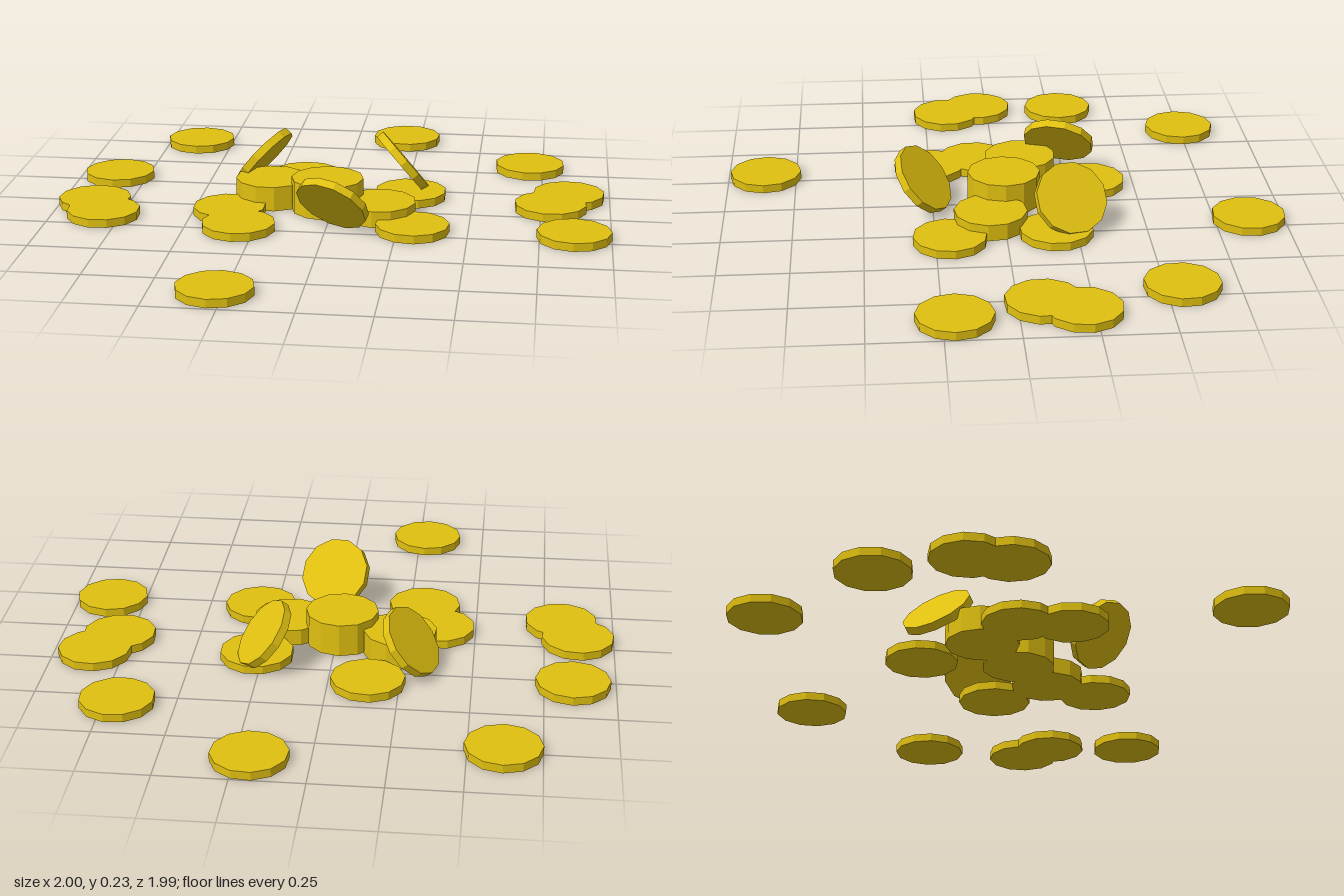
import * as THREE from 'three';

const R = 0.131, H = 0.03, SIDES = 12;

export function createModel() {
  const root = new THREE.Group();
  root.name = 'coinPile';
  const geo = new THREE.CylinderGeometry(R, R, H, SIDES);
  const gold = new THREE.MeshStandardMaterial({ color: 0xe0c010, flatShading: true });

  const addCoin = (name, x, y, z, yaw) => {
    const coin = new THREE.Mesh(geo, gold);
    coin.name = name;
    coin.position.set(x, y, z);
    coin.rotation.y = yaw;
    root.add(coin);
    return coin;
  };

  // Coins lying on the ground: [x, z]
  const flat = [
    [-0.62, -0.745], [0.20, -0.87], [0.70, -0.555], [-0.85, -0.285],
    [0.85, -0.21], [0.785, -0.085], [0.87, 0.21], [-0.87, 0.04],
    [-0.81, 0.165], [-0.28, 0.862], [-0.14, -0.335], [-0.365, 0.08],
    [-0.305, 0.25], [0.305, 0.20], [0.27, -0.175],
  ];
  flat.forEach(([x, z], i) => addCoin('looseCoin', x, H / 2, z, i * 0.17));

  // Stacks in the middle: [x, z, number of coins]
  const stacks = [[-0.02, -0.01, 4], [-0.235, -0.085, 3], [0.175, 0.05, 2]];
  stacks.forEach(([x, z, count], s) => {
    for (let i = 0; i < count; i++) addCoin('stackedCoin', x, H * (i + 0.5), z, s * 0.2);
  });

  // Coins leaning outward around the stacks: [x, z, horizontal direction of the face]
  const tilt = THREE.MathUtils.degToRad(51);
  const leaning = [
    [0.033, 0.283, 0.4, -0.92],
    [-0.283, -0.235, -0.95, -0.31],
    [0.235, -0.228, 0.95, -0.31],
  ];
  const up = new THREE.Vector3(0, 1, 0);
  for (const [x, z, dx, dz] of leaning) {
    const s = Math.sin(tilt);
    const normal = new THREE.Vector3(dx * s, Math.cos(tilt), dz * s).normalize();
    addCoin('leaningCoin', x, 0.122, z, 0).quaternion.setFromUnitVectors(up, normal);
  }
  return root;
}
